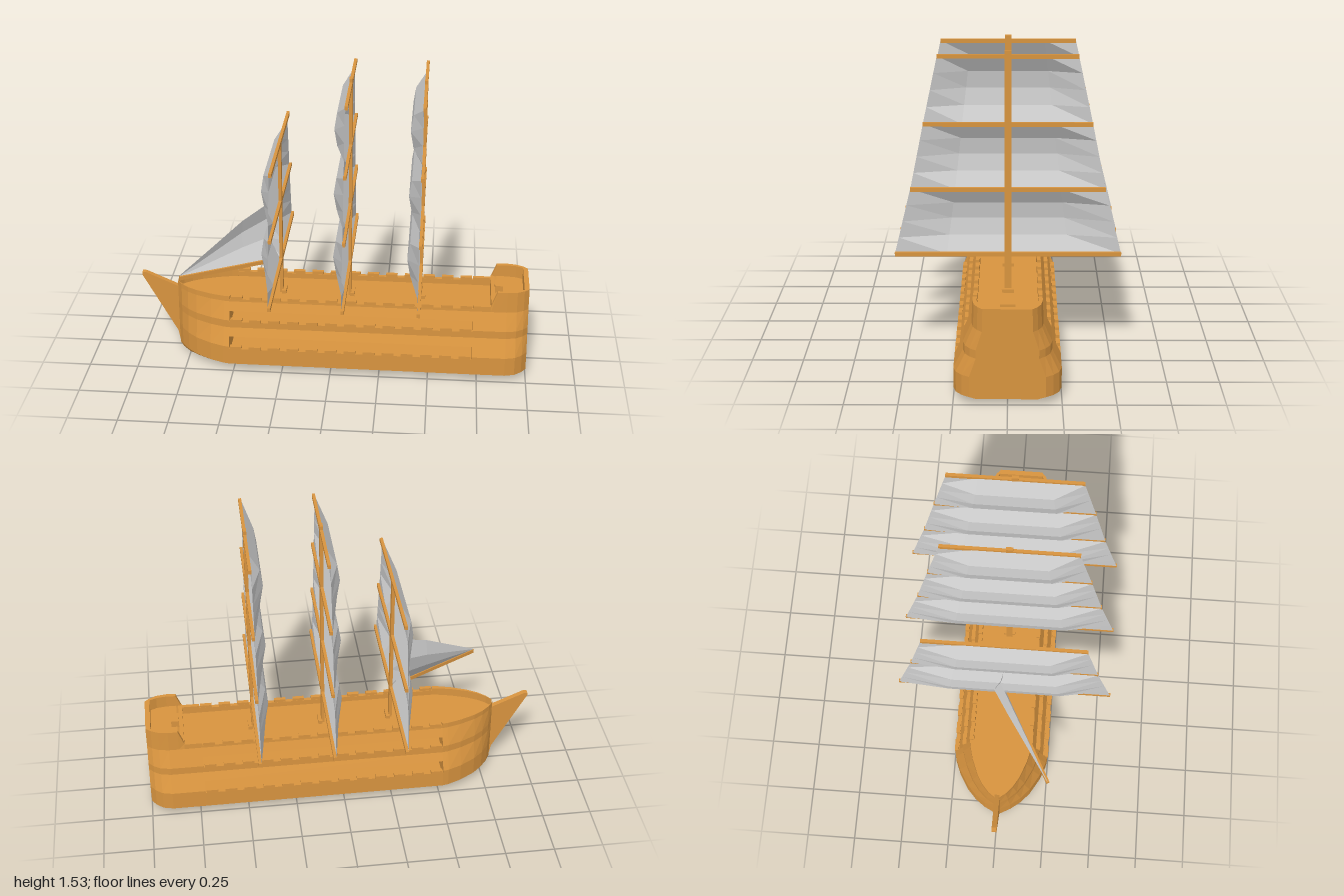
import * as THREE from 'three';

const wood = new THREE.MeshStandardMaterial({ color: 0xd8943f, flatShading: true });
const cloth = new THREE.MeshStandardMaterial({ color: 0xcccccc, flatShading: true, side: THREE.DoubleSide });

// Piecewise linear lookup in [[key, value], ...]
function lerpTable(table, k) {
  if (k <= table[0][0]) return table[0][1];
  for (let i = 1; i < table.length; i++) {
    const [a, va] = table[i - 1], [b, vb] = table[i];
    if (k <= b) return va + (vb - va) * (k - a) / (b - a);
  }
  return table[table.length - 1][1];
}

// Half width of the hull by height, and its narrowing along the length
const WIDTH = [[0, 0.06], [0.015, 0.2], [0.04, 0.25], [0.14, 0.25], [0.23, 0.205], [0.27, 0.205], [0.36, 0.165], [0.48, 0.16]];
const TAPER = [[-0.815, 0.06], [-0.79, 0.27], [-0.75, 0.48], [-0.7, 0.66], [-0.62, 0.85], [-0.55, 0.96], [-0.5, 1],
  [0.89, 1], [0.94, 0.95], [0.975, 0.84], [1, 0.7]];

function mesh(name, geometry, material = wood) {
  const m = new THREE.Mesh(geometry, material);
  m.name = name;
  return m;
}

function box(name, w, h, d, x, y, z) {
  const m = mesh(name, new THREE.BoxGeometry(w, h, d));
  m.position.set(x, y, z);
  return m;
}

// Hull cross-section from y0 to y1, hollowed down to a deck between side walls
function section(y0, y1, deckY = y1) {
  const ys = [y0, ...WIDTH.map(p => p[0]).filter(y => y > y0 + 0.001 && y < y1 - 0.001), y1];
  const right = ys.map(y => [lerpTable(WIDTH, y), y]);
  if (deckY < y1) {
    const inner = lerpTable(WIDTH, y1) - 0.02;
    right.push([inner, y1], [inner, deckY]);
  }
  const left = right.map(([z, y]) => [-z, y]).reverse();
  return new THREE.Shape([...right, ...left].map(p => new THREE.Vector2(...p)));
}

// Sweep a cross-section through stations along x, tapering it to the hull plan
function hullPart(name, shape, stations, topLimit = () => 1) {
  const n = stations.length - 1;
  const g = new THREE.ExtrudeGeometry(shape, { depth: n, steps: n, bevelEnabled: false });
  const p = g.attributes.position;
  for (let i = 0; i < p.count; i++) {
    const x = stations[Math.round(p.getZ(i))];
    const keel = Math.max(0, (Math.abs(x) - 0.5) * 0.06);
    const y = Math.min(Math.max(p.getY(i), keel), topLimit(x));
    p.setXYZ(i, x, y, -p.getX(i) * lerpTable(TAPER, x));
  }
  g.computeVertexNormals();
  return mesh(name, g);
}

// Grid surface from point(u index, v index)
function gridSheet(name, nu, nv, point) {
  const pos = [], idx = [];
  for (let j = 0; j <= nv; j++) for (let i = 0; i <= nu; i++) pos.push(...point(i, j));
  for (let j = 0; j < nv; j++) for (let i = 0; i < nu; i++) {
    const a = j * (nu + 1) + i, b = a + 1, c = a + nu + 1, d = c + 1;
    idx.push(a, b, d, a, d, c);
  }
  const g = new THREE.BufferGeometry();
  g.setAttribute('position', new THREE.Float32BufferAttribute(pos, 3));
  g.setIndex(idx);
  g.computeVertexNormals();
  return mesh(name, g, cloth);
}

function createHull() {
  const hull = new THREE.Group();
  hull.name = 'hull';
  const mid = [-0.52, 0.72];
  hull.add(
    hullPart('bow', section(0, 0.388, 0.345), [-0.815, -0.79, -0.75, -0.7, -0.62, -0.55, -0.52]),
    hullPart('lowerHull', section(0, 0.128, 0.1), mid),
    hullPart('middleDeck', section(0.187, 0.262, 0.235), mid),
    hullPart('upperDeck', section(0.314, 0.373, 0.345), mid),
    hullPart('afterDeck', section(0, 0.388, 0.345), [0.72, 0.81]),
    hullPart('sternCastle', section(0, 0.47, 0.405), [0.81, 0.84, 0.89, 0.94, 0.975],
      x => 0.39 + (x - 0.81) * 2.6),
    hullPart('transom', section(0, 0.47), [0.975, 1]),
    box('quarterdeckSill', 0.02, 0.065, 0.3, 0.82, 0.373, 0),
    box('helm', 0.04, 0.04, 0.07, 0.85, 0.42, 0)
  );
  // Crenels along the three gun decks
  for (const y of [0.128, 0.262, 0.373]) for (const side of [-1, 1]) for (let i = 0; i < 13; i++)
    hull.add(box('crenel', 0.06, 0.016, 0.02, -0.485 + i * 0.0975, y + 0.007, side * (lerpTable(WIDTH, y) - 0.01)));
  // Raked stem at the bow
  const stem = new THREE.Shape([[-0.79, 0.345], [-0.98, 0.43], [-1, 0.43], [-1, 0.415], [-0.825, 0.09], [-0.815, 0.035], [-0.78, 0.02]]
    .map(p => new THREE.Vector2(...p)));
  const g = new THREE.ExtrudeGeometry(stem, { depth: 0.026, bevelEnabled: false });
  g.translate(0, 0, -0.013);
  hull.add(mesh('stem', g));
  return hull;
}

// Yard heights and half lengths, shared by all masts
const YARDS = [[0.535, 0.545], [0.86, 0.465], [1.18, 0.4], [1.505, 0.33]];

function createMast(name, x, top, yardCount) {
  const mast = new THREE.Group();
  mast.name = name;
  mast.add(box('mastPole', 0.016, top - 0.1, 0.033, x, (top + 0.1) / 2, 0));
  mast.add(box('mastFoot', 0.022, 0.02, 0.06, x + 0.014, 0.353, 0));
  const u = [-1, -0.54, 0.54, 1], belly = [0, 0.045, 0.06, 0.048, 0];
  for (let k = 0; k < yardCount; k++) {
    const [y, half] = YARDS[k];
    mast.add(box('yard', 0.015, 0.02, half * 2, x, y, 0));
    if (k + 1 === yardCount) break;
    const [yTop, halfTop] = YARDS[k + 1];
    // Square sail bellied toward the bow
    mast.add(gridSheet('squareSail', 3, 4, (i, j) => {
      const t = j / 4, bulge = Math.abs(u[i]) === 1 ? 0 : belly[j];
      return [x - 0.006 - bulge, y + (yTop - y) * t, u[i] * (half + (halfTop - half) * t)];
    }));
  }
  return mast;
}

function createForeSail() {
  const group = new THREE.Group();
  group.name = 'foreSail';
  const start = [-0.27, 0], end = [-0.755, 0.255];
  const dx = end[0] - start[0], dz = end[1] - start[1], len = Math.hypot(dx, dz);
  const boom = box('boom', len, 0.02, 0.016, start[0] + dx / 2, 0.535, dz / 2);
  boom.rotation.y = -Math.atan2(dz, dx);
  group.add(boom);
  // Triangular sail: height by distance along the boom, bellied to one side
  const HEIGHT = [[0, 0.305], [0.12, 0.295], [0.37, 0.23], [0.68, 0.12], [1, 0.008]];
  group.add(gridSheet('triangularSail', 4, 3, (i, j) => {
    const [s, h] = HEIGHT[i], t = j / 3;
    const bulge = 0.26 * Math.sin(Math.PI * Math.min(1, t * 0.8)) * h * (s === 0 ? 0 : 1);
    return [start[0] + dx * s - bulge * 0.25, 0.54 + h * t, dz * s - bulge];
  }));
  return group;
}

export function createModel() {
  const ship = new THREE.Group();
  ship.name = 'sailingShip';
  ship.add(
    createHull(),
    createMast('foreMast', -0.27, 1.188, 3),
    createMast('mainMast', 0.085, 1.533, 4),
    createMast('aftMast', 0.45, 1.533, 4),
    createForeSail()
  );
  return ship;
}
